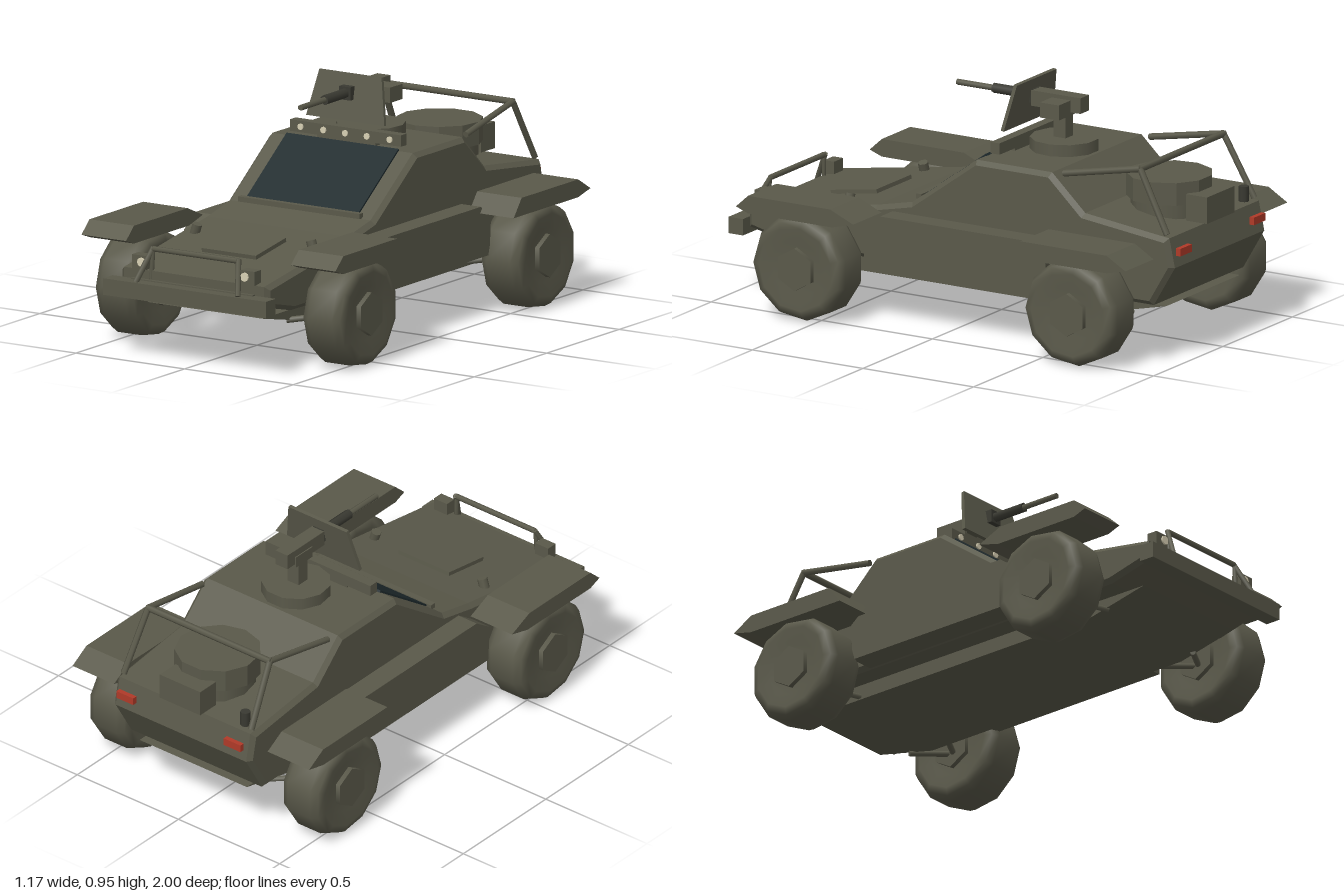
import * as THREE from 'three';

const mat = (name, color, extra = {}) => {
  const m = new THREE.MeshStandardMaterial({ color, ...extra });
  m.name = name;
  return m;
};

export function createModel() {
  const olive = mat('olive paint', 0x5a594a);
  const glass = mat('dark glass', 0x1e2a2d);
  const metal = mat('gun metal', 0x3a3a32);
  const lamp = mat('lamp lens', 0xd8d0b4);
  const red = mat('tail light red', 0xb03a28);
  const root = new THREE.Group();
  root.name = 'armouredCar';

  const add = (name, geo, m, x = 0, y = 0, z = 0, parent = root) => {
    const mesh = new THREE.Mesh(geo, m);
    mesh.name = name;
    mesh.position.set(x, y, z);
    parent.add(mesh);
    return mesh;
  };
  const box = (name, w, h, d, x, y, z, m = olive) =>
    add(name, new THREE.BoxGeometry(w, h, d), m, x, y, z);

  // Side profile of [z, y] points, extruded across x with an optional chamfer
  const slab = (name, pts, width, x = 0, bevel = 0) => {
    const shape = new THREE.Shape(pts.map(p => new THREE.Vector2(p[0], p[1])));
    const depth = width - 2 * bevel;
    const geo = new THREE.ExtrudeGeometry(shape, {
      depth, bevelEnabled: bevel > 0, bevelThickness: bevel,
      bevelSize: bevel, bevelOffset: -bevel, bevelSegments: 1,
    });
    geo.translate(0, 0, -depth / 2).rotateY(-Math.PI / 2);
    return add(name, geo, olive, x);
  };

  // Straight bar between two points
  const bar = (name, a, b, r, m = olive, sides = 6) => {
    const p = new THREE.Vector3(...a), q = new THREE.Vector3(...b);
    const mesh = add(name, new THREE.CylinderGeometry(r, r, p.distanceTo(q), sides), m);
    mesh.position.copy(p).lerp(q, 0.5);
    mesh.quaternion.setFromUnitVectors(new THREE.Vector3(0, 1, 0), q.sub(p).normalize());
    return mesh;
  };

  // Hull
  slab('body', [
    [0.935, 0.275], [0.935, 0.355], [0.36, 0.445], [0.2, 0.48], [-0.09, 0.69],
    [-0.43, 0.69], [-0.58, 0.55], [-0.96, 0.505], [-0.985, 0.39], [-0.89, 0.23], [0.75, 0.23],
  ], 0.68, 0, 0.018);
  slab('sideSponsons', [
    [0.35, 0.235], [0.36, 0.38], [0.28, 0.435], [-0.4, 0.435], [-0.47, 0.38], [-0.46, 0.235],
  ], 0.86);
  slab('underPlate', [
    [0.86, 0.21], [-0.91, 0.215], [-0.65, 0.155], [0.6, 0.155],
  ], 0.53);

  // Windscreen lying on the sloped front of the cabin
  const tilt = Math.atan2(0.29, 0.21);
  const screen = box('windscreen', 0.515, 0.345, 0.009, 0, 0.594, 0.047, glass);
  screen.rotation.x = -tilt;
  box('windscreenLedge', 0.56, 0.02, 0.025, 0, 0.492, 0.2);

  // Roof lamp bar
  box('lampBar', 0.51, 0.045, 0.04, 0, 0.725, -0.13);
  box('lampBarMount', 0.27, 0.025, 0.03, 0, 0.697, -0.13);
  for (const x of [-0.205, -0.1, 0, 0.1, 0.205]) {
    add('roofLamp', new THREE.CylinderGeometry(0.013, 0.013, 0.008, 8).rotateX(Math.PI / 2),
      lamp, x, 0.725, -0.108);
  }

  // Bonnet hatch and pegs
  box('bonnetHatch', 0.25, 0.02, 0.21, 0, 0.415, 0.59).rotation.x = 0.155;

  // Front bumper and guard
  box('frontBumper', 0.75, 0.065, 0.065, 0, 0.283, 0.967);
  box('bumperMount', 0.56, 0.04, 0.05, 0, 0.3, 0.925);
  bar('guardTop', [-0.195, 0.44, 0.925], [0.195, 0.44, 0.925], 0.011);

  // Tyre and hub profiles, spun round the axle
  const tyreProfile = [
    [0.11, -0.08], [0.165, -0.094], [0.195, -0.084], [0.21, -0.055],
    [0.21, 0.055], [0.195, 0.084], [0.165, 0.094], [0.11, 0.08], [0.001, 0.08],
  ].map(p => new THREE.Vector2(...p));
  tyreProfile.unshift(new THREE.Vector2(0.001, -0.08));
  const tyre = new THREE.LatheGeometry(tyreProfile, 11).rotateZ(-Math.PI / 2);
  const hub = new THREE.CylinderGeometry(0.085, 0.085, 0.2, 6).rotateZ(Math.PI / 2);
  hub.rotateX(Math.PI / 2);

  for (const s of [-1, 1]) {
    // Mudguards
    slab('frontMudguard', [
      [0.835, 0.43], [0.78, 0.48], [0.41, 0.48], [0.305, 0.435], [0.4, 0.41], [0.78, 0.41],
    ], 0.205, s * 0.482);
    slab('rearMudguard', [
      [-0.395, 0.41], [-0.45, 0.48], [-0.84, 0.48], [-0.925, 0.43], [-0.84, 0.41],
    ], 0.205, s * 0.482);

    // Wheels and suspension
    for (const z of [0.575, -0.655]) {
      const wheel = new THREE.Group();
      wheel.name = z > 0 ? 'frontWheel' : 'rearWheel';
      wheel.position.set(s * 0.478, 0.214, z);
      root.add(wheel);
      add('tyre', tyre, olive, 0, 0, 0, wheel);
      add('hub', hub, olive, 0, 0, 0, wheel);
      for (const dz of [-0.06, 0.06]) {
        bar('lowerArm', [s * 0.25, 0.168, z + dz * 1.6], [s * 0.4, 0.19, z], 0.012);
        bar('upperArm', [s * 0.32, 0.3, z + dz], [s * 0.4, 0.26, z], 0.011);
      }
    }

    // Headlights
    box('headlightBox', 0.065, 0.055, 0.045, s * 0.25, 0.383, 0.917);
    add('headlightLens', new THREE.CylinderGeometry(0.018, 0.018, 0.008, 8).rotateX(Math.PI / 2),
      lamp, s * 0.238, 0.385, 0.942);

    // Guard legs, bonnet pegs, tail lights
    bar('guardLeg', [s * 0.235, 0.315, 0.985], [s * 0.195, 0.445, 0.92], 0.011);
    bar('guardBrace', [s * 0.2, 0.315, 0.93], [s * 0.195, 0.44, 0.925], 0.009);
    const peg = add('bonnetPeg', new THREE.CylinderGeometry(0.02, 0.02, 0.045, 8), olive, s * 0.268, 0.432, 0.52);
    peg.rotation.z = s * 0.3;
    box('tailLight', 0.083, 0.03, 0.02, s * 0.265, 0.45, -0.99, red);

    // Rear rack sides
    bar('rackRail', [s * 0.31, 0.69, -0.475], [s * 0.3, 0.755, -0.815], 0.013);
    bar('rackLeg', [s * 0.3, 0.755, -0.815], [s * 0.315, 0.515, -0.945], 0.013);
  }
  bar('rackCrossbar', [-0.305, 0.755, -0.815], [0.305, 0.755, -0.815], 0.013);

  // Rear deck: spare wheel, stowage box, aerial base
  const spare = new THREE.CylinderGeometry(0.168, 0.168, 0.09, 11).toNonIndexed();
  spare.computeVertexNormals();
  add('spareWheel', spare, olive, 0, 0.62, -0.76);
  add('spareWheelBase', new THREE.CylinderGeometry(0.15, 0.15, 0.07, 11), olive, 0, 0.55, -0.76);
  box('stowageBox', 0.2, 0.105, 0.095, 0, 0.567, -0.943);
  add('aerialBase', new THREE.CylinderGeometry(0.02, 0.02, 0.06, 8), metal, -0.27, 0.54, -0.925);

  // Roof gun mount
  add('gunRing', new THREE.CylinderGeometry(0.135, 0.135, 0.05, 11), olive, 0, 0.712, -0.285);
  box('gunPedestal', 0.055, 0.12, 0.055, 0, 0.79, -0.278);
  box('gunCradle', 0.07, 0.045, 0.1, 0, 0.855, -0.28);
  box('gunReceiver', 0.06, 0.062, 0.225, 0, 0.876, -0.263);
  box('ammoBox', 0.085, 0.06, 0.085, 0.073, 0.862, -0.288);
  box('barrelCollar', 0.052, 0.052, 0.05, 0, 0.882, -0.13, metal);
  bar('barrelJacket', [0, 0.882, -0.15], [0, 0.882, 0.035], 0.02, metal, 6);
  bar('barrel', [0, 0.882, 0.03], [0, 0.882, 0.2], 0.012, olive, 6);

  // Gun shield, leaning back
  const plate = new THREE.Shape([[-0.18, 0], [0.18, 0], [0.143, 0.183], [-0.143, 0.183]]
    .map(p => new THREE.Vector2(...p)));
  const shield = add('gunShield',
    new THREE.ExtrudeGeometry(plate, { depth: 0.014, bevelEnabled: false }), olive, 0, 0.772, -0.122);
  shield.rotation.x = -0.2;

  return root;
}
